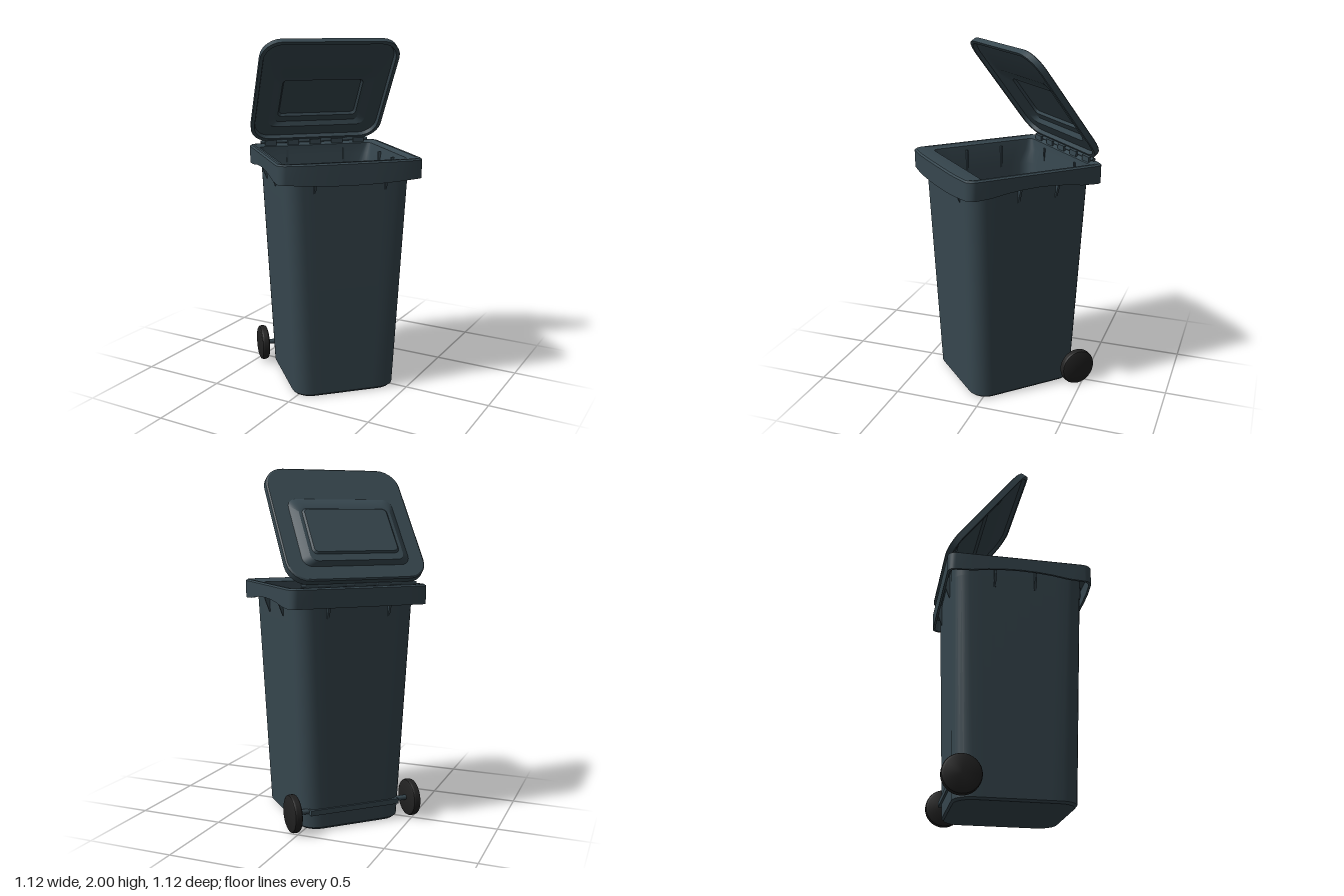
import * as THREE from 'three';
import { toCreasedNormals } from 'three/addons/utils/BufferGeometryUtils.js';

const CORNER = 6, EDGE = 8;

// Rounded rectangle cross-section; bend(v) may adjust each point
function ring([hx, hz, r, y, cz = 0, bend]) {
  const arcs = [];
  const signs = [[1, 1], [-1, 1], [-1, -1], [1, -1]];
  signs.forEach(([sx, sz], q) => {
    for (let i = 0; i <= CORNER; i++) {
      const a = (q + i / CORNER) * Math.PI / 2;
      arcs.push(new THREE.Vector3(sx * (hx - r) + r * Math.cos(a), y, cz + sz * (hz - r) + r * Math.sin(a)));
    }
  });
  const pts = [];
  arcs.forEach((p, i) => {
    pts.push(p);
    if (i % (CORNER + 1) === CORNER) {
      const next = arcs[(i + 1) % arcs.length];
      for (let k = 1; k < EDGE; k++) pts.push(p.clone().lerp(next, k / EDGE));
    }
  });
  if (bend) pts.forEach(bend);
  return pts;
}

// Skin a chain of cross-sections
function loft(sections) {
  const rings = sections.map(ring);
  const n = rings[0].length, pos = [], idx = [];
  rings.forEach(pts => pts.forEach(p => pos.push(p.x, p.y, p.z)));
  for (let s = 0; s < rings.length - 1; s++) {
    for (let i = 0; i < n; i++) {
      const a = s * n + i, b = s * n + (i + 1) % n;
      idx.push(a, a + n, b, b, a + n, b + n);
    }
  }
  const g = new THREE.BufferGeometry();
  g.setAttribute('position', new THREE.Float32BufferAttribute(pos, 3));
  g.setIndex(idx);
  return toCreasedNormals(g, 0.5);
}

export function createModel() {
  const plastic = new THREE.MeshStandardMaterial({ color: 0x37474f });
  plastic.name = 'slate plastic';
  const rubber = new THREE.MeshStandardMaterial({ color: 0x212121 });
  rubber.name = 'black rubber';

  const model = new THREE.Group();
  model.name = 'wheeledBin';
  const bin = new THREE.Group();
  bin.name = 'bin';
  bin.rotation.y = Math.PI / 4;
  model.add(bin);

  const add = (parent, name, geometry, material = plastic) => {
    const m = new THREE.Mesh(geometry, material);
    m.name = name;
    parent.add(m);
    return m;
  };

  // Bowed front of the rim, and a skirt whose lower edge arches on the sides
  const bow = p => {
    if (p.z > 0.3) p.z += 0.02 * Math.max(0, 1 - (p.x / 0.4) ** 4);
  };
  const skirt = p => {
    if (Math.abs(p.x) > 0.375) p.y += 0.03 * Math.max(0, 1 - (p.z / 0.3) ** 2);
    else if (p.z > 0) p.y -= 0.015 * Math.max(0, 1 - (p.x / 0.35) ** 2);
    bow(p);
  };

  // Tapered hollow body with overhanging rim
  add(bin, 'body', loft([
    [0, 0, 0, 0],
    [0.29, 0.32, 0.1, 0],
    [0.3, 0.33, 0.1, 0.012],
    [0.355, 0.372, 0.09, 1.25],
    [0.357, 0.374, 0.085, 1.325],
    [0.393, 0.393, 0.035, 1.325, 0, bow],
    [0.395, 0.395, 0.035, 1.25, 0, skirt],
    [0.408, 0.408, 0.04, 1.25, 0, skirt],
    [0.41, 0.41, 0.045, 1.352, 0, bow],
    [0.4, 0.4, 0.04, 1.36, 0, bow],
    [0.385, 0.385, 0.035, 1.36, 0, bow],
    [0.375, 0.355, 0.03, 1.35, -0.015],
    [0.355, 0.332, 0.03, 1.345, -0.027],
    [0.345, 0.33, 0.05, 1.28, -0.027],
    [0.34, 0.345, 0.08, 1.2],
    [0.287, 0.315, 0.085, 0.03],
    [0, 0, 0, 0.03],
  ]));

  // Triangular gussets under the rim
  const gussetShape = new THREE.Shape([
    new THREE.Vector2(-0.02, 0), new THREE.Vector2(0.03, 0), new THREE.Vector2(0.03, -0.06),
    new THREE.Vector2(0.004, -0.13), new THREE.Vector2(-0.02, -0.13),
  ]);
  const gusset = new THREE.ExtrudeGeometry(gussetShape, { depth: 0.012, bevelEnabled: false });
  gusset.translate(0, 0, -0.006);
  const addGusset = (x, z, turn) => {
    const g = add(bin, 'gusset', gusset);
    g.position.set(x, 1.32, z);
    g.rotation.y = turn;
  };
  for (const s of [-1, 1]) {
    addGusset(s * 0.2, 0.37, -Math.PI / 2);
    addGusset(s * 0.18, -0.37, Math.PI / 2);
    for (const z of [-0.14, 0.09]) addGusset(s * 0.352, z, s > 0 ? 0 : Math.PI);
  }

  // Open lid: thin shell with a stepped raised panel
  const lid = new THREE.Group();
  lid.name = 'lid';
  lid.position.set(0, 1.375, -0.39);
  lid.rotation.x = -0.925;
  bin.add(lid);
  const mid = 0.3775;
  add(lid, 'lidShell', loft([
    [0, 0, 0, 0.06, 0.3],
    [0.235, 0.13, 0.02, 0.06, 0.3],
    [0.245, 0.14, 0.025, 0.045, 0.3],
    [0.262, 0.172, 0.03, 0.045, 0.29],
    [0.303, 0.213, 0.05, 0.022, 0.31],
    [0.383, 0.35, 0.1, 0.022, mid],
    [0.39, 0.358, 0.105, 0, mid],
    [0.41, 0.3775, 0.12, 0, mid],
    [0.408, 0.375, 0.12, 0.034, mid],
    [0.4, 0.367, 0.115, 0.04, mid],
    [0.315, 0.223, 0.055, 0.04, 0.312],
    [0.308, 0.217, 0.05, 0.046, 0.31],
    [0.274, 0.182, 0.04, 0.066, 0.29],
    [0.256, 0.15, 0.03, 0.066, 0.3],
    [0.246, 0.14, 0.025, 0.076, 0.3],
    [0, 0, 0, 0.076, 0.3],
  ]));

  // Hinge rod and knuckles along the back
  const rod = add(bin, 'hingeRod', new THREE.CylinderGeometry(0.01, 0.01, 0.68, 12));
  rod.rotation.z = Math.PI / 2;
  rod.position.set(0, 1.37, -0.385);
  for (let i = -2; i <= 2; i++) {
    add(bin, 'hingeKnuckle', new THREE.BoxGeometry(0.07, 0.03, 0.03)).position.set(i * 0.14, 1.365, -0.38);
  }

  // Axle and its brackets
  const axle = add(bin, 'axle', new THREE.CylinderGeometry(0.015, 0.015, 0.72, 12));
  axle.rotation.z = Math.PI / 2;
  axle.position.set(0, 0.106, -0.3);
  add(bin, 'axleHousing', new THREE.BoxGeometry(0.54, 0.03, 0.06)).position.set(0, 0.106, -0.315);

  // Wheels with softened edges
  const wheelProfile = [[0, -0.024], [0.092, -0.024], [0.102, -0.019], [0.106, -0.01],
    [0.106, 0.01], [0.102, 0.019], [0.092, 0.024], [0, 0.024]].map(([r, h]) => new THREE.Vector2(r, h));
  const wheelGeometry = toCreasedNormals(new THREE.LatheGeometry(wheelProfile, 32), 0.6);
  for (const s of [-1, 1]) {
    const wheel = add(bin, s > 0 ? 'leftWheel' : 'rightWheel', wheelGeometry, rubber);
    wheel.rotation.z = Math.PI / 2;
    wheel.position.set(s * 0.363, 0.106, -0.302);
  }

  return model;
}
